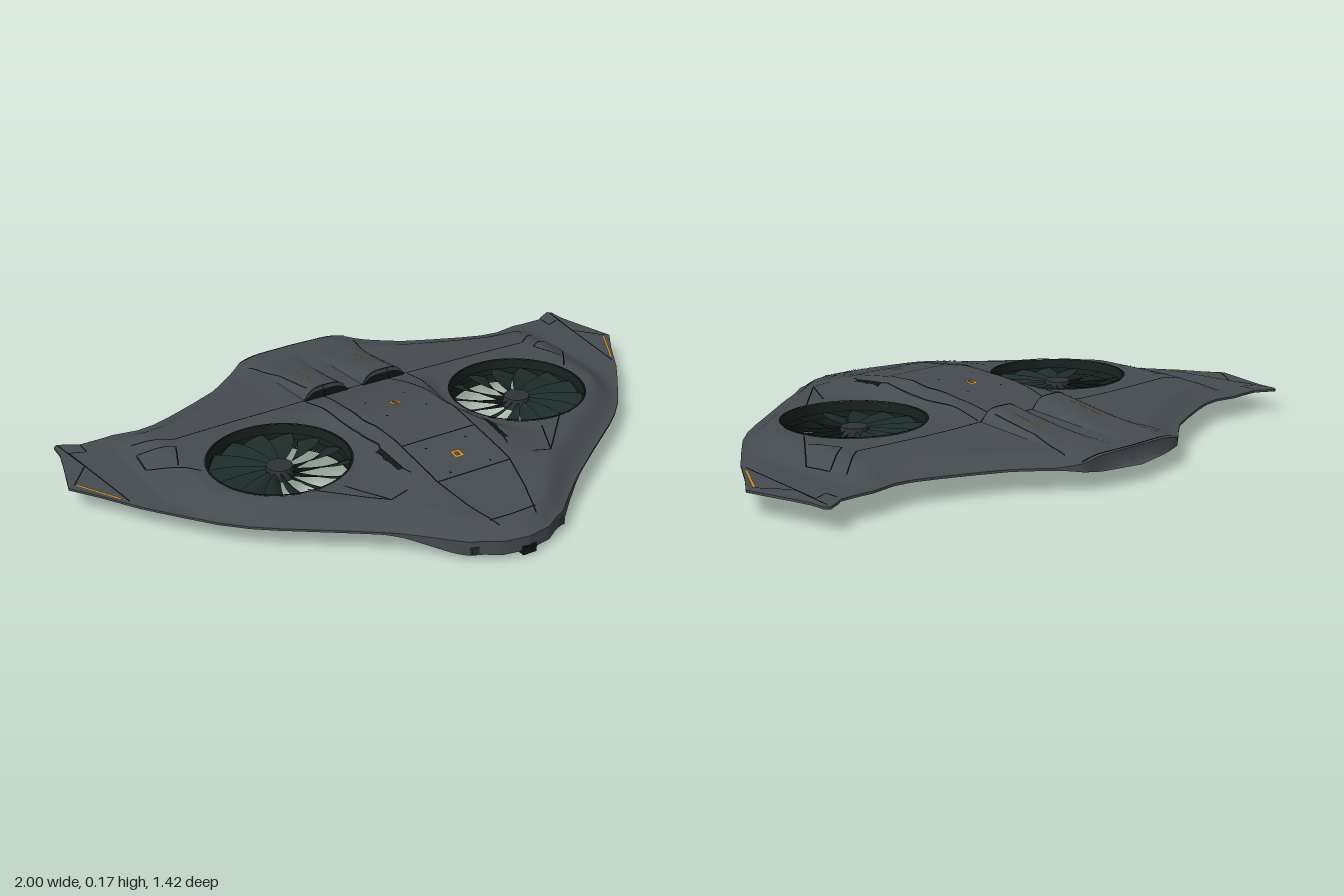
import * as THREE from 'three';
import { mergeVertices } from 'three/addons/utils/BufferGeometryUtils.js';

const paint = (name, color, side = THREE.DoubleSide) => {
  const m = new THREE.MeshStandardMaterial({ color, side });
  m.name = name;
  return m;
};
const { smoothstep, lerp } = THREE.MathUtils;
const FAN = { x: 0.431, z: 0.035, r: 0.217 };
const DECK_END = -0.675;

// Half planform, tail to wing tip to nose, as [x, z]
const OUTLINE = [[0, -0.71], [0.2, -0.67], [0.25, -0.632], [0.3, -0.592], [0.36, -0.547], [0.45, -0.505], [0.55, -0.463],
  [0.62, -0.438], [0.68, -0.43], [0.76, -0.443], [0.8, -0.44], [0.87, -0.44], [0.885, -0.452], [0.93, -0.475],
  [0.942, -0.465], [0.945, -0.41], [0.96, -0.35], [1, -0.207], [0.94, -0.12], [0.867, 0], [0.8, 0.09], [0.715, 0.2],
  [0.65, 0.265], [0.59, 0.313], [0.45, 0.414], [0.3, 0.525], [0.23, 0.582], [0.16, 0.645], [0.125, 0.66], [0.08, 0.69], [0, 0.705]];

// Linear lookup through [position, value] pairs in rising order
function curve(pairs, t) {
  if (t <= pairs[0][0]) return pairs[0][1];
  for (let i = 1; i < pairs.length; i++) {
    const [a, va] = pairs[i - 1], [b, vb] = pairs[i];
    if (t <= b) return lerp(va, vb, (t - a) / (b - a));
  }
  return pairs[pairs.length - 1][1];
}
const SPINE = [[-0.68, 0.093], [-0.45, 0.1], [-0.25, 0.115], [-0.15, 0.14], [0, 0.165], [0.1, 0.17],
  [0.2, 0.164], [0.4, 0.137], [0.6, 0.09], [0.7, 0.06]];
const KEEL = [[-0.68, 0.048], [-0.25, 0.042], [-0.1, 0.015], [0.05, 0.004], [0.3, 0], [0.5, 0.004], [0.7, 0.012]];

function edgeDistance(x, z) {
  let best = 9;
  for (let i = 1; i < OUTLINE.length; i++) {
    const [ax, az] = OUTLINE[i - 1], [bx, bz] = OUTLINE[i];
    const dx = bx - ax, dz = bz - az;
    const t = Math.min(1, Math.max(0, ((x - ax) * dx + (z - az) * dz) / (dx * dx + dz * dz)));
    best = Math.min(best, Math.hypot(x - ax - t * dx, z - az - t * dz));
  }
  return best;
}

// Height of the upper or lower skin
function skin(x, z, upper) {
  x = Math.abs(x);
  const d = edgeDistance(x, z);
  const nose = smoothstep(z, 0.48, 0.64);
  const rim = upper ? lerp(0.07, 0.058, nose) : lerp(0.063, 0.014, nose);
  const plateau = upper ? curve([[-0.65, 0.085], [-0.2, 0.115]], z) : curve([[-0.3, 0.05], [-0.12, 0.035]], z);
  const wing = lerp(rim, plateau, smoothstep(d, 0, 0.1) * (1 - smoothstep(x, 0.68, 0.8)));
  const outer = z < -0.3 ? 0.27 : upper ? 0.34 : 0.45;
  let k = 1 - smoothstep(x, 0.12, outer);
  k *= smoothstep(Math.hypot(x - FAN.x, z - FAN.z), FAN.r + 0.005, 0.31);
  if (z > 0) k *= smoothstep(d, 0, 0.1);
  return lerp(wing, curve(upper ? SPINE : KEEL, z), k);
}

// Extra height of the engine hoods behind the intakes
const HOOD = { x: 0.106, w: 0.078 };
function hood(x, z) {
  const u = (Math.abs(x) - HOOD.x) / HOOD.w, t = (-0.25 - z) / 0.36;
  if (Math.abs(u) > 1 || t < -0.001 || t > 1) return 0;
  return 0.037 * (1 - t) * (1 - u ** 4);
}

// Surface through rows of points
function grid(rows, flip = false) {
  const n = rows[0].length, index = [];
  for (let i = 0; i < rows.length - 1; i++) {
    for (let j = 0; j < n - 1; j++) {
      const a = i * n + j, b = a + n;
      index.push(...(flip ? [a, a + 1, b, b, a + 1, b + 1] : [a, b, a + 1, b, b + 1, a + 1]));
    }
  }
  let g = new THREE.BufferGeometry();
  g.setAttribute('position', new THREE.Float32BufferAttribute(rows.flat(2), 3));
  g.setIndex(index);
  g = mergeVertices(g, 1e-5);
  g.computeVertexNormals();
  return g;
}

function subdivide(points, step) {
  const out = [points[0]];
  for (let i = 1; i < points.length; i++) {
    const [ax, az] = points[i - 1], [bx, bz] = points[i];
    const n = Math.max(1, Math.ceil(Math.hypot(bx - ax, bz - az) / step));
    for (let k = 1; k <= n; k++) out.push([lerp(ax, bx, k / n), lerp(az, bz, k / n)]);
  }
  return out;
}

export function createModel() {
  const hull = paint('hull grey', 0x464b50);
  const line = paint('seam black', 0x121416);
  const fanPaint = paint('fan green black', 0x1d2c29);
  const duct = paint('duct dark', 0x1a2220);
  const orange = paint('marker orange', 0xd38a1c);
  const trim = paint('trim grey', 0x2e3236);
  const model = new THREE.Group();
  const add = (name, geo, mat, parent = model) => {
    const m = new THREE.Mesh(geo, mat);
    m.name = name;
    parent.add(m);
    return m;
  };
  // Thin stripe laid along the skin
  const stripe = (name, points, mat, width = 0.004, upper = true) => {
    const p = subdivide(points, 0.015);
    const rows = p.map(([x, z], i) => {
      const a = p[Math.max(0, i - 1)], b = p[Math.min(p.length - 1, i + 1)];
      const dx = b[0] - a[0], dz = b[1] - a[1], l = Math.hypot(dx, dz) || 1;
      return [1, -1].map(s => {
        const px = x - s * dz / l * width / 2, pz = z + s * dx / l * width / 2;
        return [px, skin(px, pz, upper) + (upper ? hood(px, pz) + 0.003 : -0.0025), pz];
      });
    });
    add(name, grid(rows, !upper), mat);
  };

  // Hull halves: skins run from the fan opening out to the planform edge
  const edge = subdivide(OUTLINE, 0.02);
  const loop = edge.concat(subdivide([[0, 0.705], [0, -0.71]], 0.02).slice(1));
  const RINGS = 40;
  const point = (x, z, s, upper) => [s * x, skin(x, z, upper), upper ? Math.max(z, DECK_END) : z];
  for (const s of [1, -1]) {
    const mouth = ([x, z]) => {
      const l = Math.hypot(x - FAN.x, z - FAN.z);
      return [FAN.x + (x - FAN.x) / l * FAN.r, FAN.z + (z - FAN.z) / l * FAN.r];
    };
    for (const upper of [true, false]) {
      const rows = loop.map(p => {
        const [mx, mz] = mouth(p);
        return Array.from({ length: RINGS + 1 }, (_, j) =>
          point(lerp(mx, p[0], j / RINGS), lerp(mz, p[1], j / RINGS), s, upper));
      });
      add(upper ? 'upperHull' : 'lowerHull', grid(rows, upper === (s < 0)), hull);
    }
    // Edge wall stands on the deck end at the tail, with a flat lip behind it
    const foot = (x, z) => [s * x, skin(x, z, false) + 0.002, Math.max(z, DECK_END)];
    add('hullEdge', grid(edge.map(([x, z]) => [point(x, z, s, true), foot(x, z), point(x, z, s, false)]), s < 0), hull);
    add('fanDuct', grid(loop.map(mouth).map(([x, z]) =>
      [point(x, z, s, true), point(x, z, s, false)]), s > 0), duct);

    // Lift fan
    const fan = new THREE.Group();
    fan.name = 'liftFan';
    fan.position.set(s * FAN.x, 0.078, FAN.z);
    model.add(fan);
    add('fanHub', new THREE.CylinderGeometry(0.04, 0.047, 0.034, 32), trim, fan);
    const BLADES = 14, pitch = Math.PI * 2 / BLADES;
    const blade = grid(Array.from({ length: 9 }, (_, i) => {
      const r = lerp(0.035, 0.215, i / 8), span = pitch * lerp(0.98, 0.83, i / 8);
      return Array.from({ length: 5 }, (_, j) => {
        const v = j / 4 - 0.5, a = v * span + 4 * r * r;
        return [r * Math.cos(a) * s, -v * 0.03 - v * v * 0.02, r * Math.sin(a)];
      });
    }), s > 0);
    for (let i = 0; i < BLADES; i++) add('fanBlade', blade, fanPaint, fan).rotation.y = i * pitch;
    add('fanShroud', new THREE.CylinderGeometry(0.211, 0.211, 0.02, 64, 1, true), duct, fan);

    // Fan lip
    const ring = Array.from({ length: 65 }, (_, i) => {
      const a = i / 32 * Math.PI;
      return [s * FAN.x + Math.cos(a) * FAN.r, FAN.z + Math.sin(a) * FAN.r];
    });
    stripe('fanLip', ring, line, 0.007);
    stripe('fanLipBelow', ring, line, 0.006, false);

    // Engine hood, its front face and the intake mouth
    const us = Array.from({ length: 17 }, (_, j) => HOOD.x + (j / 8 - 1) * HOOD.w);
    add('engineHood', grid(Array.from({ length: 19 }, (_, i) => {
      const z = -0.25 - 0.02 * i;
      return us.map(x => [s * x, skin(x, z, true) + hood(x, z) + 0.001, z]);
    }), s < 0), hull);
    const front = (z, share) => grid(us.map(x => {
      const y = skin(x, -0.25, true);
      return [[s * x, y + hood(x, -0.25) * share + 0.001, z], [s * x, y - 0.004, z]];
    }), s < 0);
    add('hoodFront', front(-0.25, 1), hull);
    add('intakeMouth', front(-0.247, 0.72), line);

    // Panel seams
    const seams = [
      [[0.118, -0.25], [0.135, -0.1], [0.14, 0.03], [0.13, 0.2], [0.128, 0.42], [0.1, 0.54], [0.064, 0.645]],
      [[0.19, -0.24], [0.18, -0.1], [0.17, 0.05], [0.175, 0.18], [0.2, 0.25], [0.17, 0.35]],
      [[0.75, -0.32], [0.65, -0.24], [0.4, -0.25], [0.2, -0.25], [0, -0.25]],
      [[0.22, 0.41], [0.28, 0.42], [0.35, 0.28]], [[0.28, 0.42], [0.45, 0.24]],
      [[0.66, -0.02], [0.77, -0.17], [0.76, -0.26], [0.66, -0.19], [0.7, -0.09]],
      [[0.87, -0.43], [0.87, -0.38], [0.92, -0.4], [0.88, -0.04]],
      [[0.93, -0.46], [0.91, -0.3], [0.98, -0.21]],
      [[0.16, -0.28], [0.165, -0.45], [0.2, -0.6]],
    ];
    for (const pts of seams) stripe('panelSeam', pts.map(([x, z]) => [s * x, z]), line);
    stripe('sideVent', [[s * 0.19, 0.2], [s * 0.185, 0.32]], line, 0.018);

    // Orange marker lines
    stripe('tailMarker', [[s * 0.118, -0.32], [s * 0.118, -0.45]], orange, 0.005);
    stripe('tipMarker', [[s * 0.975, -0.21], [s * 0.895, -0.065]], orange, 0.008);

    // Nose sensors
    const sensor = add('noseSensor', new THREE.BoxGeometry(0.03, 0.02, 0.02), trim);
    sensor.position.set(s * 0.145, 0.03, 0.645);
  }

  // Cross seams over the body and tail
  for (const [z, w] of [[0.235, 0.13], [0.425, 0.128], [0.62, 0.08]]) stripe('crossSeam', [[-w, z], [w, z]], line);
  stripe('exhaustSlot', [[-0.2, -0.664], [0, -0.671], [0.2, -0.664]], line, 0.006);

  // Square hatch markers on the spine
  for (const z of [-0.01, 0.335]) {
    for (const d of [-1, 1]) {
      stripe('hatchMarker', [[d * 0.011, z - 0.016], [d * 0.011, z + 0.016]], orange, 0.009);
      stripe('hatchMarker', [[-0.007, z + d * 0.012], [0.007, z + d * 0.012]], orange, 0.008);
    }
    for (const dx of [-0.07, 0.07]) for (const dz of [-0.06, 0.07]) {
      stripe('hatchBolt', [[dx - 0.003, z + dz], [dx + 0.003, z + dz]], line, 0.006);
    }
  }
  // Belly hatches
  for (const z of [0.24, 0.04, -0.16]) {
    const a = 0.085, b = 0.08;
    stripe('bellyHatch', [[-a, z - b], [a, z - b], [a, z + b], [-a, z + b], [-a, z - b]], line, 0.004, false);
  }

  // Nose camera
  add('noseCamera', new THREE.BoxGeometry(0.045, 0.026, 0.03), line).position.set(0, 0.016, 0.693);
  add('noseSlit', new THREE.BoxGeometry(0.22, 0.006, 0.02), line).position.set(0, 0.036, 0.652);
  return model;
}
